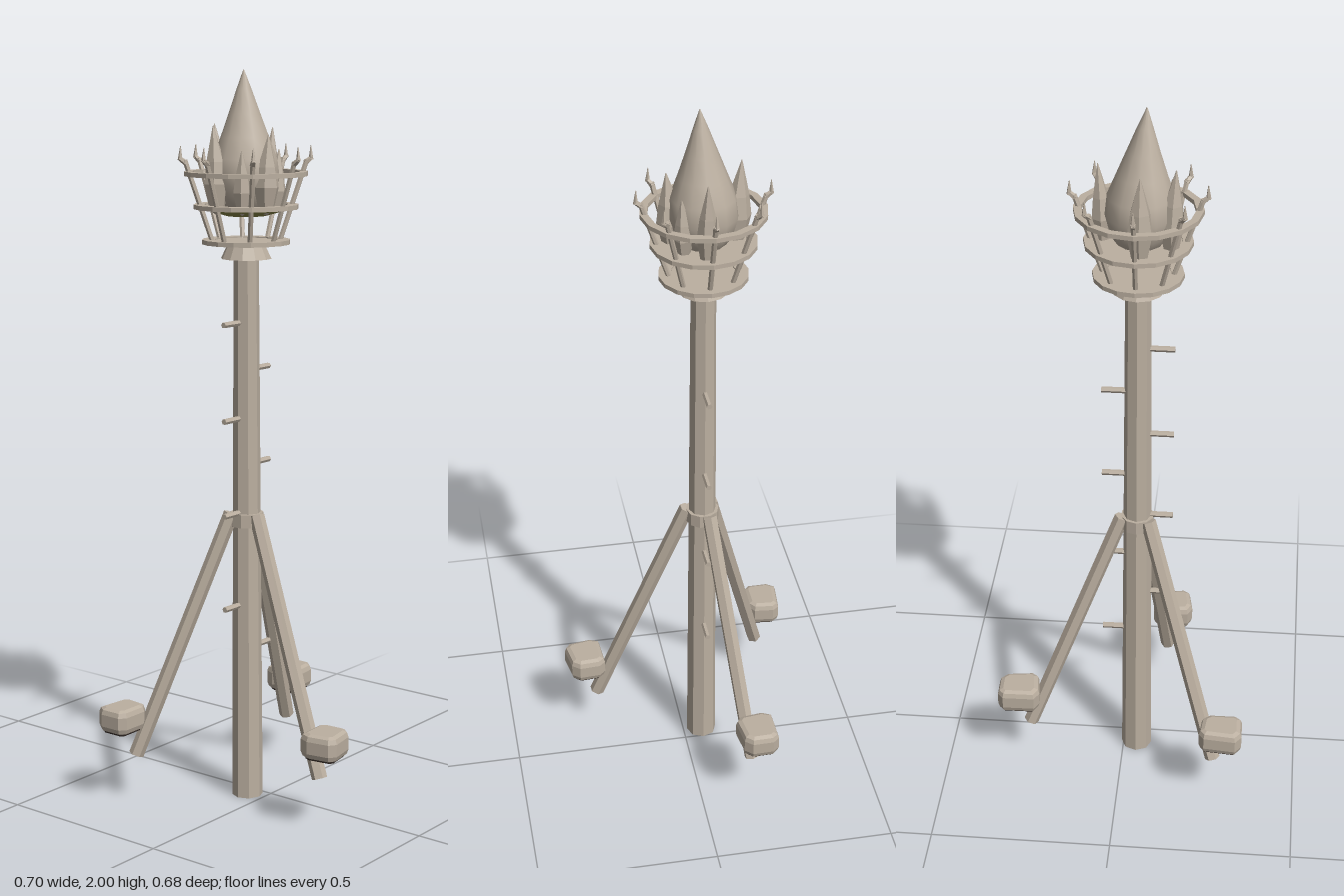
import * as THREE from 'three';

const V = (x, y, z) => new THREE.Vector3(x, y, z);
const wood = new THREE.MeshStandardMaterial({ color: 0xbbafa0, flatShading: true });
wood.name = 'pale wood';
const flameMat = new THREE.MeshStandardMaterial({ color: 0xbbafa0 });
flameMat.name = 'pale flame';
const olive = new THREE.MeshStandardMaterial({ color: 0x8c8a4a });
olive.name = 'olive underside';
const dark = new THREE.MeshStandardMaterial({ color: 0x2c2420 });
dark.name = 'dark stone base';

function mesh(name, geo, mat, parent) {
  const m = new THREE.Mesh(geo, mat);
  m.name = name;
  parent.add(m);
  return m;
}

// tapered rod from a to b
function rod(name, a, b, ra, rb, sides, parent) {
  const d = b.clone().sub(a);
  const m = mesh(name, new THREE.CylinderGeometry(rb, ra, d.length(), sides), wood, parent);
  m.position.copy(a).addScaledVector(d, 0.5);
  m.quaternion.setFromUnitVectors(V(0, 1, 0), d.normalize());
  return m;
}

// flat band with a rectangular section
function band(name, inner, outer, y, h, parent) {
  const p = [[inner, -h], [outer, -h], [outer, h], [inner, h], [inner, -h]];
  const geo = new THREE.LatheGeometry(p.map(([r, v]) => new THREE.Vector2(r, v / 2)), 16);
  mesh(name, geo, wood, parent).position.y = y;
}

// teardrop whose tip leans sideways
function tongue(name, profile, sides, leanX, leanZ, mat, parent) {
  const geo = new THREE.LatheGeometry(profile.map(([r, y]) => new THREE.Vector2(r, y)), sides);
  const p = geo.attributes.position;
  const top = profile[profile.length - 1][1];
  for (let i = 0; i < p.count; i++) {
    const t = (p.getY(i) / top) ** 2;
    p.setX(i, p.getX(i) + leanX * t);
    p.setZ(i, p.getZ(i) + leanZ * t);
  }
  return mesh(name, geo, mat, parent);
}

// bevelled stone with a dark base
function stone(x, z, w, d, turn, parent) {
  const g = new THREE.Group();
  g.name = 'stone';
  const outline = (k) => new THREE.Shape([
    [-0.5, -0.3], [-0.4, -0.5], [0.42, -0.46], [0.5, -0.34], [0.48, 0.28], [0.34, 0.44], [-0.36, 0.5], [-0.46, 0.4],
  ].map(([a, b]) => new THREE.Vector2(a * (w - k), b * (d - k))));
  const body = new THREE.ExtrudeGeometry(outline(0.03), {
    depth: 0.034, bevelEnabled: true, bevelThickness: 0.018, bevelSize: 0.015, bevelSegments: 2,
  });
  body.translate(0, 0, -0.017).rotateX(Math.PI / 2);
  mesh('stoneBody', body, wood, g);
  const base = new THREE.ExtrudeGeometry(outline(0.022), { depth: 0.006, bevelEnabled: false });
  base.rotateX(Math.PI / 2);
  mesh('stoneBase', base, dark, g).position.y = -0.031;
  g.position.set(x, 0.243, z);
  g.rotation.y = turn;
  parent.add(g);
}

export function createModel() {
  const model = new THREE.Group();
  model.name = 'torchPost';

  // everything upright shares the pole's axis
  const post = new THREE.Group();
  post.name = 'post';
  post.position.set(-0.038, 0, -0.054);
  model.add(post);
  rod('pole', V(0, 0, 0), V(0, 1.51, 0), 0.043, 0.034, 8, post);
  rod('legCollar', V(0, 0.775, 0), V(0, 0.812, 0), 0.046, 0.046, 10, post);

  // climbing pegs on alternating sides
  for (let i = 0; i < 8; i++) {
    const s = i % 2 ? -1 : 1, y = 0.425 + i * 0.13;
    rod('peg', V(s * 0.02, y, 0), V(s * 0.097, y, 0), 0.008, 0.008, 6, post);
  }

  // three braces, each with a stone hung on its outer side
  for (const deg of [222, 343, 103]) {
    const a = THREE.MathUtils.degToRad(deg), c = Math.cos(a), s = Math.sin(a);
    rod('brace', V(c * 0.043, 0.81, s * 0.043), V(c * 0.312, 0.135, s * 0.312), 0.021, 0.021, 6, post);
  }
  stone(-0.293, -0.288, 0.118, 0.1, -0.06, model);
  stone(0.291, -0.154, 0.118, 0.106, 0.06, model);
  stone(-0.12, 0.28, 0.115, 0.106, 0.1, model);

  // basket
  const basket = new THREE.Group();
  basket.name = 'basket';
  post.add(basket);
  rod('basketFoot', V(0, 1.505, 0), V(0, 1.548, 0), 0.068, 0.048, 12, basket);
  rod('basketFloor', V(0, 1.545, 0), V(0, 1.553, 0), 0.09, 0.09, 16, basket);
  band('lowerRing', 0.085, 0.118, 1.55, 0.012, basket);
  band('middleRing', 0.112, 0.14, 1.643, 0.012, basket);
  band('upperRing', 0.145, 0.165, 1.73, 0.012, basket);
  for (let i = 0; i < 8; i++) {
    const a = i * Math.PI / 4, c = Math.cos(a), s = Math.sin(a);
    const at = (r, y) => V(c * r, y, s * r);
    rod('bar', at(0.09, 1.55), at(0.162, 1.765), 0.007, 0.007, 6, basket);
    rod('barTip', at(0.158, 1.757), at(0.177, 1.772), 0.008, 0.006, 5, basket);
    rod('barSpike', at(0.174, 1.766), at(0.173, 1.803), 0.007, 0.001, 5, basket);
  }

  // fuel tray with an olive underside
  rod('tray', V(0, 1.638, 0), V(0, 1.645, 0), 0.118, 0.118, 16, basket);
  const under = mesh('trayUnderside', new THREE.CylinderGeometry(0.117, 0.055, 0.018, 16), olive, basket);
  under.position.y = 1.628;

  // flame: one large tongue ringed by small ones
  const fire = new THREE.Group();
  fire.name = 'flame';
  fire.position.y = 1.62;
  post.add(fire);
  tongue('mainFlame', [[0.001, 0], [0.05, 0.008], [0.078, 0.05], [0.092, 0.1], [0.086, 0.15], [0.065, 0.205],
    [0.043, 0.265], [0.02, 0.33], [0.001, 0.38]], 12, -0.016, 0.008, flameMat, fire).position.x = -0.003;
  const petals = [
    [-0.085, -0.03, 0.232, 0.034], [0.092, 0.008, 0.225, 0.028], [-0.01, -0.088, 0.235, 0.036],
    [-0.02, 0.083, 0.21, 0.035], [0.05, 0.06, 0.17, 0.027], [-0.072, 0.045, 0.17, 0.025],
  ];
  for (const [x, z, h, r] of petals) {
    const p = tongue('sideFlame', [[0.001, 0], [r * 0.6, 0.012], [r, h * 0.35], [r * 0.75, h * 0.6], [0.001, h]],
      6, x * 0.12, z * 0.12, wood, fire);
    p.position.set(x, 0.004, z);
  }
  return model;
}
